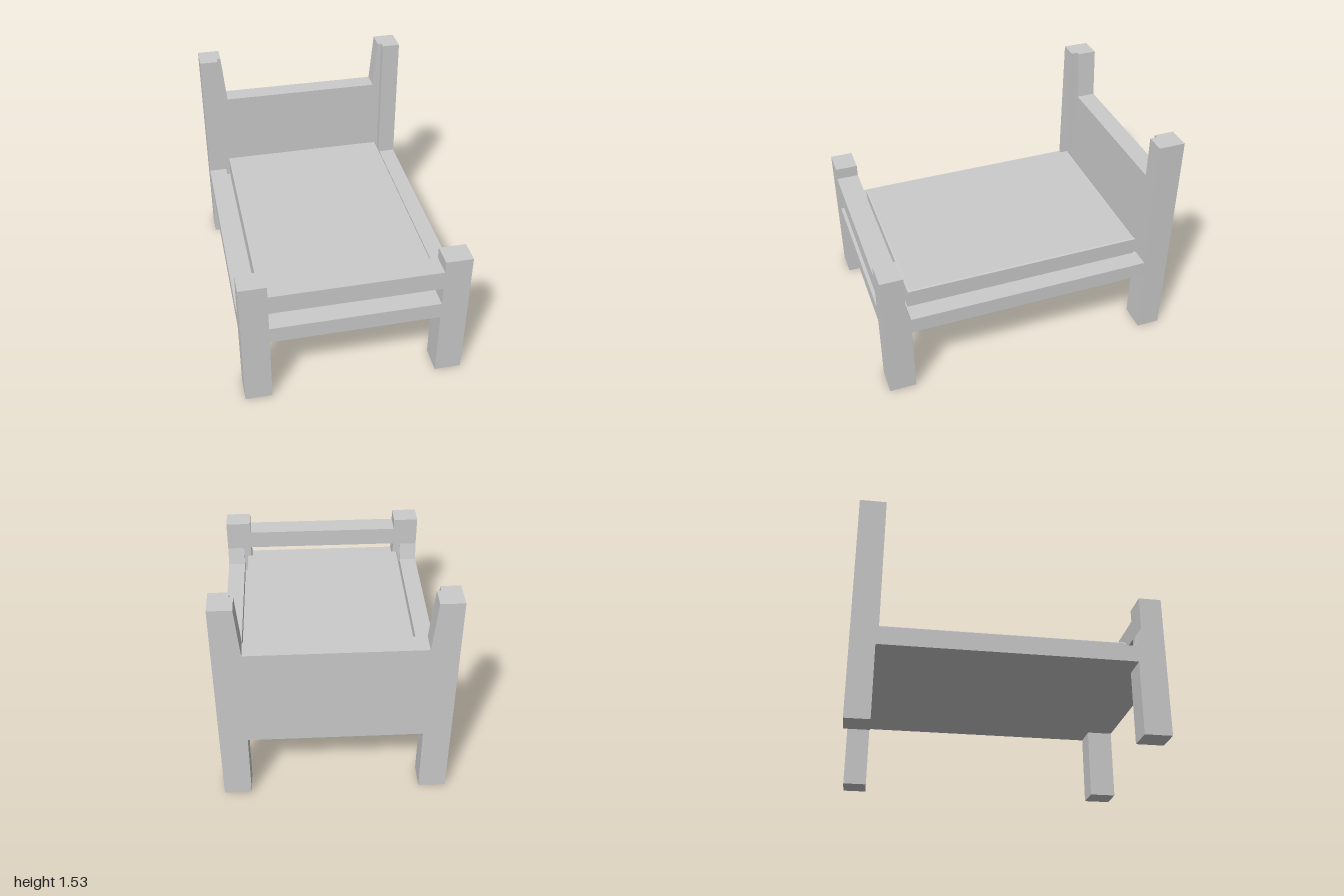
import * as THREE from 'three';

const material = new THREE.MeshStandardMaterial({ color: 0xcccccc, flatShading: true });

export function createModel() {
  const bed = new THREE.Group();
  bed.name = 'bed';

  const add = (name, geometry) => {
    const mesh = new THREE.Mesh(geometry, material);
    mesh.name = name;
    bed.add(mesh);
    return mesh;
  };
  // box from its lower and upper bounds
  const box = (name, [x0, y0, z0], [x1, y1, z1]) =>
    add(name, new THREE.BoxGeometry(x1 - x0, y1 - y0, z1 - z0)
      .translate((x0 + x1) / 2, (y0 + y1) / 2, (z0 + z1) / 2));
  const points = list => list.map(([x, y]) => new THREE.Vector2(x, y));
  // closed outline from its right half, mirrored across x = 0
  const mirrored = half => points([...half, ...half.map(([x, y]) => [-x, y]).reverse()]);
  const slab = (shape, depth) => new THREE.ExtrudeGeometry(shape, { depth, bevelEnabled: false });

  const W = 0.74, INNER = 0.615, LEG = 0.56, BASE = 0.49, RAIL = 0.6;

  // headboard with posts that taper into the panel
  const head = new THREE.Shape(mirrored([[W, BASE], [W, 1.53], [0.59, 1.53], [LEG, 1.19]]));
  add('headboard', slab(head, 0.13).translate(0, 0, -1));

  // footboard with raised posts and an open slot
  const foot = new THREE.Shape(mirrored([[W, BASE], [W, 0.95], [LEG, 0.95], [LEG, 0.87]]));
  foot.holes.push(new THREE.Path(mirrored([[LEG, 0.605], [LEG, 0.735]])));
  add('footboard', slab(foot, 0.15).translate(0, 0, 0.85));

  for (const side of [1, -1]) {
    const label = side > 0 ? 'left' : 'right';
    const sideBox = (name, a, b) => {
      const [x0, x1] = [side * a[0], side * b[0]].sort((p, q) => p - q);
      box(label + name, [x0, a[1], a[2]], [x1, b[1], b[2]]);
    };
    sideBox('FrontLeg', [LEG, 0, 0.82], [W, BASE, 1]);
    sideBox('BackLeg', [LEG, 0, -1], [W, BASE, -0.84]);
    sideBox('SideRail', [INNER, BASE, -0.87], [W, RAIL, 0.85]);
    sideBox('HeadPostFace', [INNER, RAIL, -0.87], [W, 1.53, -0.825]);

    // sloped foot of the front post, profile in z and y
    const wedge = new THREE.Shape(points([[-0.85, RAIL], [-0.82, RAIL], [-0.85, 0.73]]));
    add(label + 'PostWedge', slab(wedge, W - INNER).rotateY(Math.PI / 2)
      .translate(side > 0 ? INNER : -W, 0, 0));
  }

  // floor of the recess that holds the mattress
  box('bedBase', [-INNER, BASE, -0.87], [INNER, 0.52, 0.85]);

  // mattress with a narrow chamfer
  const c = 0.008;
  const pad = new THREE.Shape(mirrored([[0.585 - c, -0.795 + c], [0.585 - c, 0.825 - c]]));
  add('mattress', new THREE.ExtrudeGeometry(pad, {
    depth: 0.18 - 2 * c, bevelEnabled: true, bevelSize: c, bevelThickness: c, bevelSegments: 1,
  }).rotateX(-Math.PI / 2).translate(0, 0.52 + c, 0));

  // the wedge profile uses -z as its first axis, so turn it to face the bed's middle
  bed.children.filter(m => m.name.endsWith('PostWedge')).forEach(m => {
    m.geometry.computeBoundingBox();
  });
  return bed;
}
